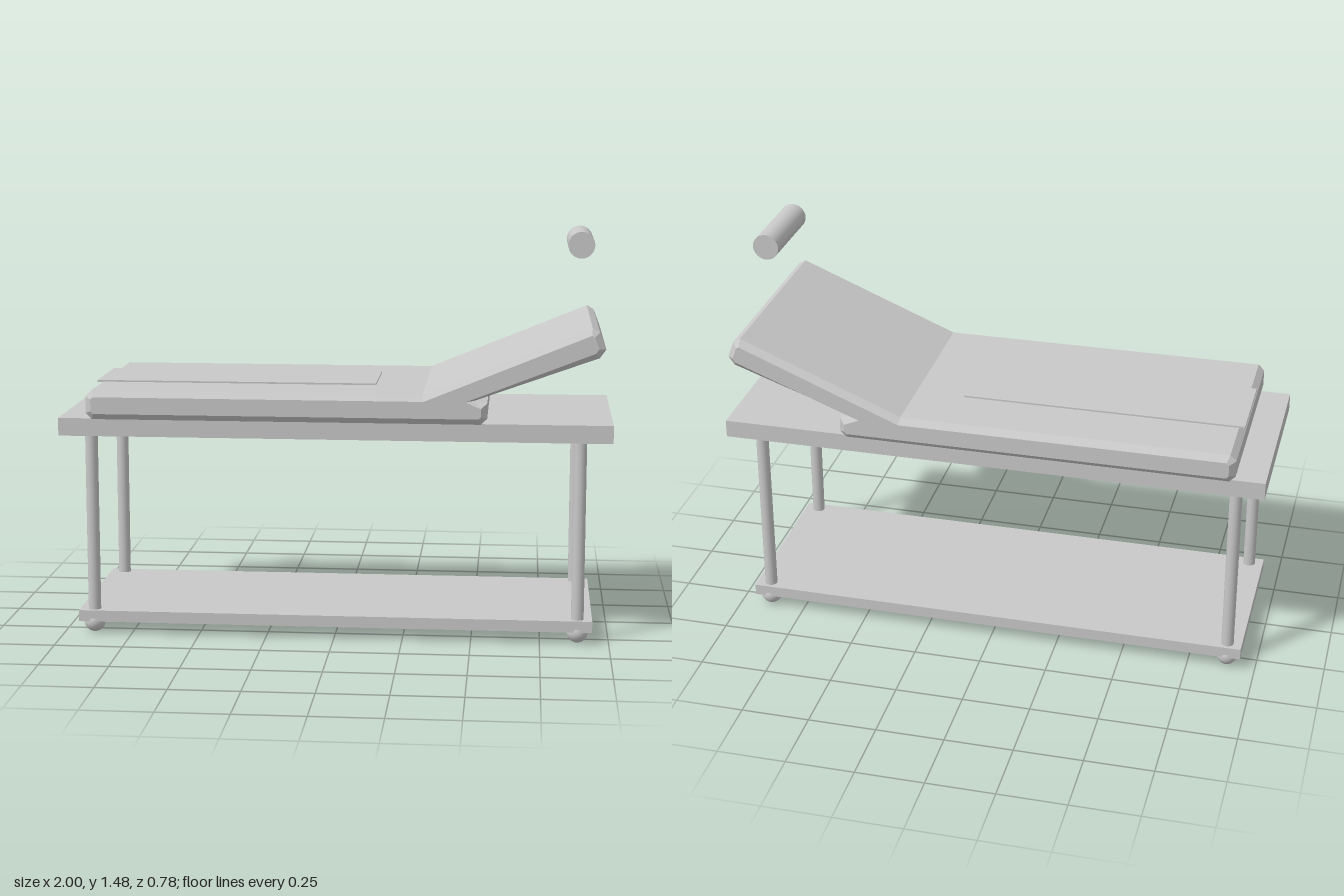
import * as THREE from 'three';

export function createModel() {
  const group = new THREE.Group();
  const grey = new THREE.MeshStandardMaterial({ color: 0xc8c8c8 });
  grey.name = 'light grey';

  const add = (name, geometry, x, y, z) => {
    const mesh = new THREE.Mesh(geometry, grey);
    mesh.name = name;
    mesh.position.set(x, y, z);
    group.add(mesh);
    return mesh;
  };

  // Table top and lower shelf
  add('tableTop', new THREE.BoxGeometry(2, 0.065, 0.71), 0, 0.778, 0);
  add('lowerShelf', new THREE.BoxGeometry(1.885, 0.042, 0.65), -0.003, 0.065, 0);

  // Legs with ball feet
  const leg = new THREE.CylinderGeometry(0.023, 0.023, 0.665, 32);
  const foot = new THREE.SphereGeometry(0.039, 32, 20);
  for (const x of [-0.892, 0.886]) {
    for (const z of [-0.29, 0.29]) {
      add('leg', leg, x, 0.415, z);
      add('foot', foot, x, 0.039, z);
    }
  }

  // Mattress with raised backrest: side profile with chamfered long edges
  const profile = new THREE.Shape([
    [-0.895, 0.832], [-0.873, 0.81], [0.53, 0.81], [0.552, 0.832],
    [0.552, 0.888], [0.505, 0.896], [0.945, 1.054], [0.967, 1.085],
    [0.944, 1.145], [0.918, 1.16], [0.322, 0.915], [-0.873, 0.915], [-0.895, 0.893],
  ].map(([x, y]) => new THREE.Vector2(x, y)));
  const bevel = 0.022;
  const mattress = new THREE.ExtrudeGeometry(profile, {
    depth: 0.776 - 2 * bevel, bevelEnabled: true, bevelSegments: 1,
    bevelSize: bevel, bevelThickness: bevel, bevelOffset: -bevel,
  });
  mattress.translate(0, 0, -0.388 + bevel);
  add('mattress', mattress, 0, 0, 0);

  // Thin runner laid on the flat part, overhanging the foot end chamfer
  add('runner', new THREE.BoxGeometry(1.035, 0.007, 0.31), -0.377, 0.9175, -0.003);

  // Handle bar under the backrest
  const handle = new THREE.CylinderGeometry(0.008, 0.008, 0.36, 16);
  handle.rotateX(Math.PI / 2);
  add('handle', handle, 0.93, 1.031, 0);

  // Round head bolster
  const bolster = new THREE.CylinderGeometry(0.048, 0.048, 0.31, 40);
  bolster.rotateX(Math.PI / 2);
  add('bolster', bolster, 0.88, 1.433, 0);

  return group;
}
